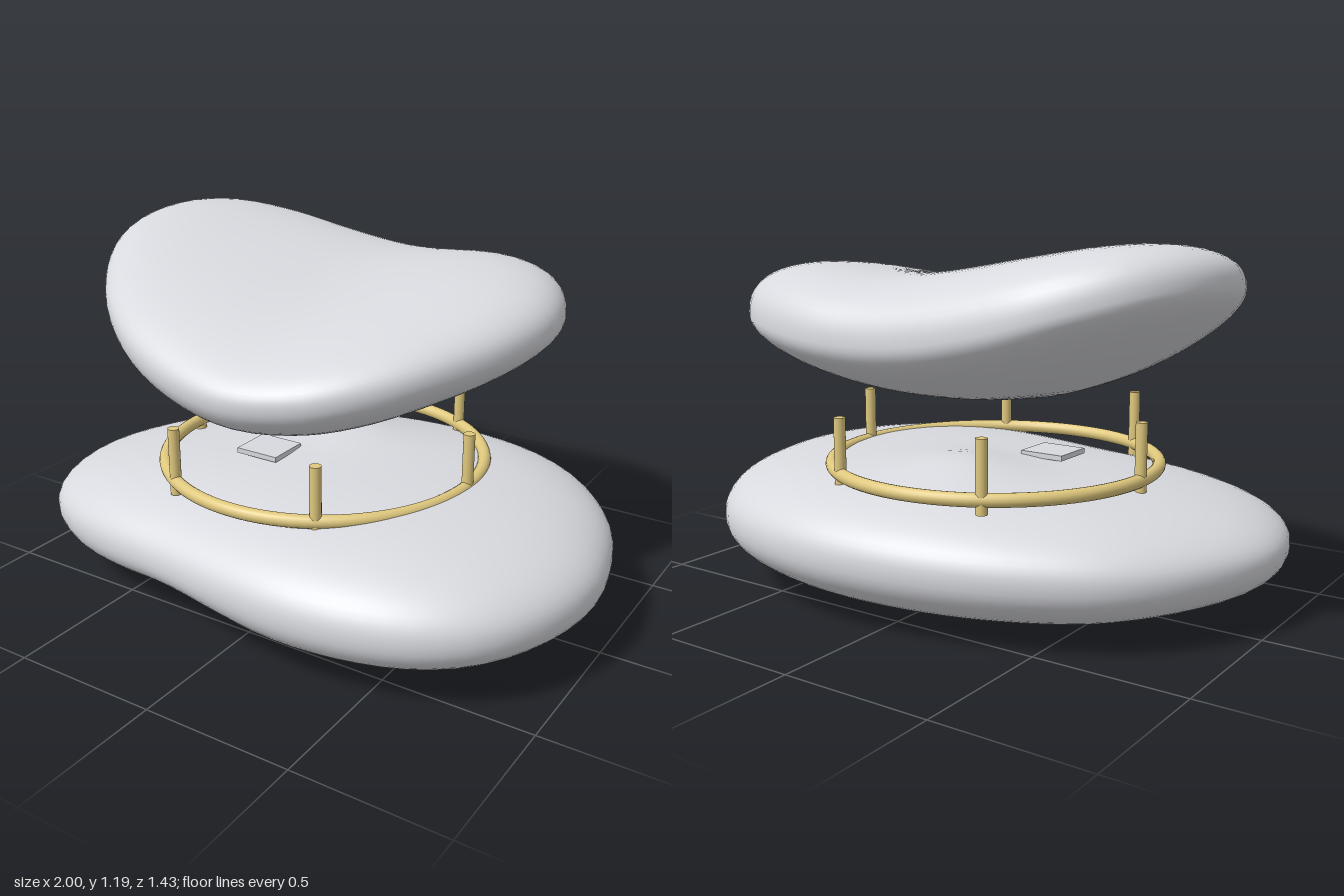
import * as THREE from 'three';

// Smooth pebble: a plan outline shrunk in rings, with rules for mid height and thickness
function pebble(outline, cx, cz, power, mid, up, down) {
  const SEG = 72, RINGS = 44;
  const curve = new THREE.CatmullRomCurve3(
    outline.map(([x, z]) => new THREE.Vector3(x, 0, z)), true, 'centripetal');
  const rim = curve.getSpacedPoints(SEG).slice(0, SEG);
  const pos = [], index = [];
  const put = (x, z, s, top) => {
    const dx = x - cx, dz = z - cz;
    const k = Math.pow(Math.max(0, 1 - Math.pow(s, power)), 0.45);
    pos.push(x, mid(dx, dz) + k * (top ? up(dx, dz) : -down(dx, dz)), z);
  };
  put(cx, cz, 0, true);
  for (let j = 1; j < RINGS; j++) {
    const t = Math.PI * j / RINGS, s = j === RINGS / 2 ? 1 : Math.sin(t);
    for (const p of rim) put(cx + (p.x - cx) * s, cz + (p.z - cz) * s, s, j <= RINGS / 2);
  }
  put(cx, cz, 0, false);
  const at = (j, i) => 1 + (j - 1) * SEG + i % SEG, last = 1 + (RINGS - 1) * SEG;
  for (let i = 0; i < SEG; i++) {
    index.push(0, at(1, i), at(1, i + 1));
    for (let j = 1; j < RINGS - 1; j++) {
      const a = at(j, i), b = at(j, i + 1), c = at(j + 1, i), d = at(j + 1, i + 1);
      index.push(a, c, b, b, c, d);
    }
    index.push(last, at(RINGS - 1, i + 1), at(RINGS - 1, i));
  }
  const g = new THREE.BufferGeometry();
  g.setAttribute('position', new THREE.Float32BufferAttribute(pos, 3));
  g.setIndex(index);
  g.computeVertexNormals();
  return g;
}

// Soft round swelling centred on (x0, z0)
const swell = (x, z, x0, z0, spread) => Math.exp(-((x - x0) ** 2 + (z - z0) ** 2) / spread);

export function createModel() {
  const group = new THREE.Group();
  const grey = new THREE.MeshStandardMaterial({ color: 0xd8d9de });
  grey.name = 'stone grey';
  const brass = new THREE.MeshStandardMaterial({ color: 0xdfc87e });
  brass.name = 'brass';
  const add = (name, geometry, material, x = 0, y = 0, z = 0) => {
    const m = new THREE.Mesh(geometry, material);
    m.name = name;
    m.position.set(x, y, z);
    group.add(m);
    return m;
  };

  // Outlines run from +z round to +x, so the faces wind outwards
  const baseOutline = [[0, 0.692], [0.25, 0.716], [0.5, 0.69], [0.7, 0.62], [0.85, 0.5], [0.96, 0.3],
    [1, 0.08], [0.97, -0.12], [0.9, -0.31], [0.76, -0.5], [0.6, -0.62], [0.4, -0.69], [0.15, -0.717],
    [-0.2, -0.675], [-0.5, -0.57], [-0.75, -0.41], [-0.92, -0.17], [-1, 0.08], [-0.965, 0.3],
    [-0.86, 0.465], [-0.7, 0.565], [-0.5, 0.62], [-0.25, 0.653]];
  const topOutline = [[0, 0.615], [0.15, 0.59], [0.3, 0.53], [0.45, 0.4], [0.58, 0.2], [0.67, 0],
    [0.7, -0.2], [0.65, -0.4], [0.55, -0.555], [0.4, -0.665], [0.2, -0.71], [0, -0.71], [-0.4, -0.68],
    [-0.6, -0.64], [-0.8, -0.52], [-0.9, -0.37], [-0.935, -0.2], [-0.915, -0.03], [-0.84, 0.14],
    [-0.67, 0.35], [-0.45, 0.505], [-0.2, 0.59]];

  // Flat lower pebble: a gentle swelling on top and a shallow waist at the front
  add('baseStone', pebble(baseOutline, 0, 0, 2.6,
    (x) => 0.235 + 0.008 * x,
    (x, z) => 0.22 + 0.025 * x + 0.038 * swell(x, z, -0.06, -0.22, 0.04),
    (x, z) => 0.233 - 0.05 * swell(x, z, -0.25, 0.65, 0.08)), grey);

  // Saddle-shaped upper pebble, raised at both sides and low at the front
  add('topStone', pebble(topOutline, -0.1, -0.05, 2.5,
    (x, z) => 0.85 + 0.32 * x ** 2 - 0.13 * x ** 4 - 0.07 * x + 0.03 * z * z - 0.05 * z,
    (x, z) => 0.228 - 0.09 * z - 0.02 * Math.exp(-((x - 0.15) ** 2) / 0.05),
    (x, z) => 0.195 - 0.05 * x * x + 0.06 * Math.min(z, 0)), grey);

  // Ring lying on the lower pebble, with six posts
  const cx = -0.043, cz = -0.02, R = 0.547;
  add('ring', new THREE.TorusGeometry(R, 0.022, 16, 96), brass, cx, 0.442, cz).rotation.x = Math.PI / 2;
  const post = new THREE.CylinderGeometry(0.019, 0.019, 0.23, 20);
  for (let i = 0; i < 6; i++) {
    const a = i * Math.PI / 3;
    add('post', post, brass, cx + R * Math.cos(a), 0.513, cz + R * Math.sin(a));
  }

  // Small flat plate inside the ring
  add('plate', new THREE.BoxGeometry(0.16, 0.018, 0.15), grey, -0.195, 0.461, 0.1);
  return group;
}
